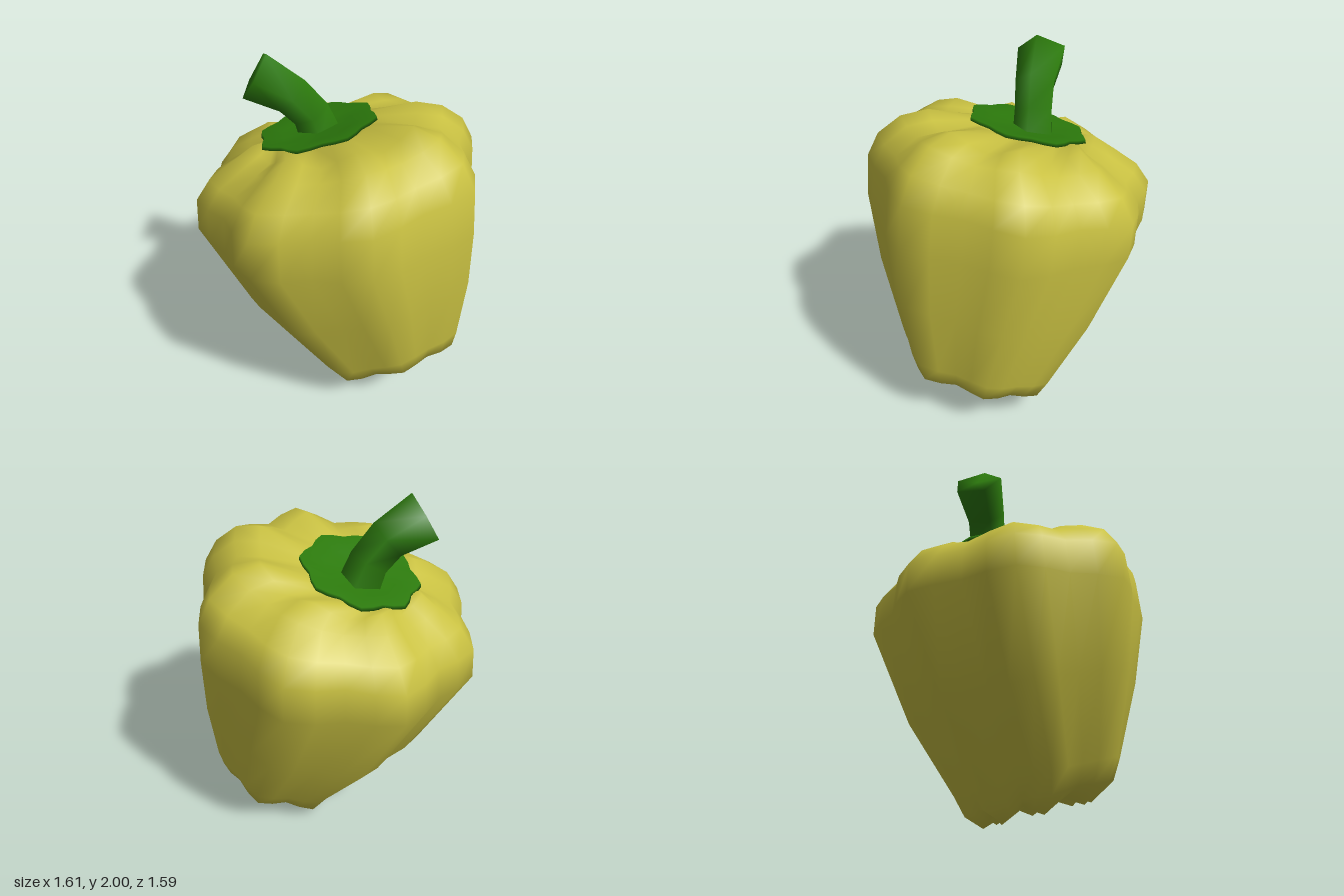
import * as THREE from 'three';

const skin = new THREE.MeshStandardMaterial({ name: 'yellow skin', color: 0xc9c142 });
const green = new THREE.MeshStandardMaterial({ name: 'stem green', color: 0x2c7a0c });

// Skin a stack of equal-length rings (lowest first) with smooth normals
function loft(rings) {
  const n = rings[0].length, index = [];
  for (let i = 0; i < rings.length - 1; i++) {
    for (let j = 0; j < n; j++) {
      const k = (j + 1) % n;
      const a = i * n + j, b = i * n + k, c = a + n, d = b + n;
      index.push(a, b, d, a, d, c);
    }
  }
  const g = new THREE.BufferGeometry().setFromPoints(rings.flat());
  g.setIndex(index);
  g.computeVertexNormals();
  return g;
}

// Tilted ring with eight lobes: a = groove depth, dy = height of the lobes,
// flat = how far the two front diagonals are drawn in
function lobedRing([cx, cy, cz, rx, rz, tilt, a, dy, flat = 0], phase) {
  const pts = [];
  for (let j = 0; j < 32; j++) {
    const t0 = (j / 32) * Math.PI * 2 + phase;
    const wave = Math.cos(8 * (t0 - phase));
    const t = t0 + 0.04 * Math.sin(t0) - 0.03; // slightly uneven lobe spacing
    const diagonal = Math.max(0, Math.cos(t)) * Math.sin(2 * t) ** 2;
    const s = (1 - a * (1 - wave) / 2) * (1 - flat * diagonal);
    const z = rz * s * Math.cos(t);
    pts.push(new THREE.Vector3(cx + rx * s * Math.sin(t), cy + tilt * z + dy * wave, cz + z));
  }
  return pts;
}

export function createModel() {
  const group = new THREE.Group();
  const add = (name, geo, mat) => {
    const m = new THREE.Mesh(geo, mat);
    m.name = name;
    group.add(m);
  };

  // Fruit body, leaning back towards the top
  const body = [
    [0.08, 0.19, 0.31, 0, 0, 0.33, 0, 0],
    [0.08, 0.195, 0.30, 0.13, 0.13, 0.33, 0.08, -0.01],
    [0.08, 0.14, 0.28, 0.32, 0.31, 0.33, 0.1, -0.035, 0.1],
    [0.08, 0.215, 0.31, 0.46, 0.43, 0.33, 0.1, -0.01, 0.12],
    [0.07, 0.32, 0.285, 0.52, 0.475, 0.31, 0.09, 0, 0.11],
    [0.03, 0.72, 0.14, 0.68, 0.66, 0.27, 0.08, 0, 0.06],
    [0, 1.15, 0, 0.805, 0.8, 0.12, 0.09, 0, 0.045],
    [0.01, 1.365, -0.01, 0.8, 0.78, 0.17, 0.1, 0, 0.04],
    [0.01, 1.48, -0.01, 0.72, 0.70, 0.2, 0.1, 0.01, 0.02],
    [0.01, 1.57, -0.01, 0.57, 0.57, 0.25, 0.1, 0.02],
    [0.01, 1.6, -0.04, 0.44, 0.45, 0.27, 0.08, 0.035],
    [0, 1.58, -0.14, 0.31, 0.3, 0.28, 0.04, 0.01],
    [0, 1.54, -0.15, 0.2, 0.2, 0.28, 0, 0],
    [0, 1.52, -0.15, 0, 0, 0.28, 0, 0],
  ];
  add('pepperBody', loft(body.map(r => lobedRing(r, 0.13))), skin);

  // Scalloped, slightly dished green cap around the stem
  const calyx = [
    [0, 1.53, -0.155, 0, 0, 0.28, 0, 0],
    [0, 1.58, -0.155, 0.34, 0.32, 0.28, 0.11, 0],
    [0, 1.6, -0.155, 0.335, 0.315, 0.28, 0.11, 0],
    [0, 1.58, -0.155, 0.2, 0.19, 0.28, 0.04, 0],
    [0, 1.57, -0.155, 0, 0, 0.28, 0, 0],
  ];
  add('calyx', loft(calyx.map(r => lobedRing(r, 0.45))), green);

  // Bent five-sided stem, flaring to a cut end
  const path = new THREE.CatmullRomCurve3([
    new THREE.Vector3(0.04, 1.53, -0.17),
    new THREE.Vector3(0.005, 1.66, -0.205),
    new THREE.Vector3(-0.06, 1.77, -0.275),
    new THREE.Vector3(-0.17, 1.88, -0.43),
  ]);
  const radii = [0.12, 0.11, 0.115, 0.142, 0];
  const rings = radii.map((r, i) => {
    const s = Math.min(i / 3, 1);
    const p = path.getPoint(s), dir = path.getTangent(s);
    const up = new THREE.Vector3(0, 1, 0.3);
    const u = up.clone().addScaledVector(dir, -dir.dot(up)).normalize();
    const v = new THREE.Vector3().crossVectors(dir, u);
    return Array.from({ length: 5 }, (_, j) => {
      const t = j / 5 * Math.PI * 2;
      return p.clone().addScaledVector(u, r * Math.cos(t)).addScaledVector(v, r * Math.sin(t));
    });
  });
  add('stem', loft(rings), green);

  return group;
}
